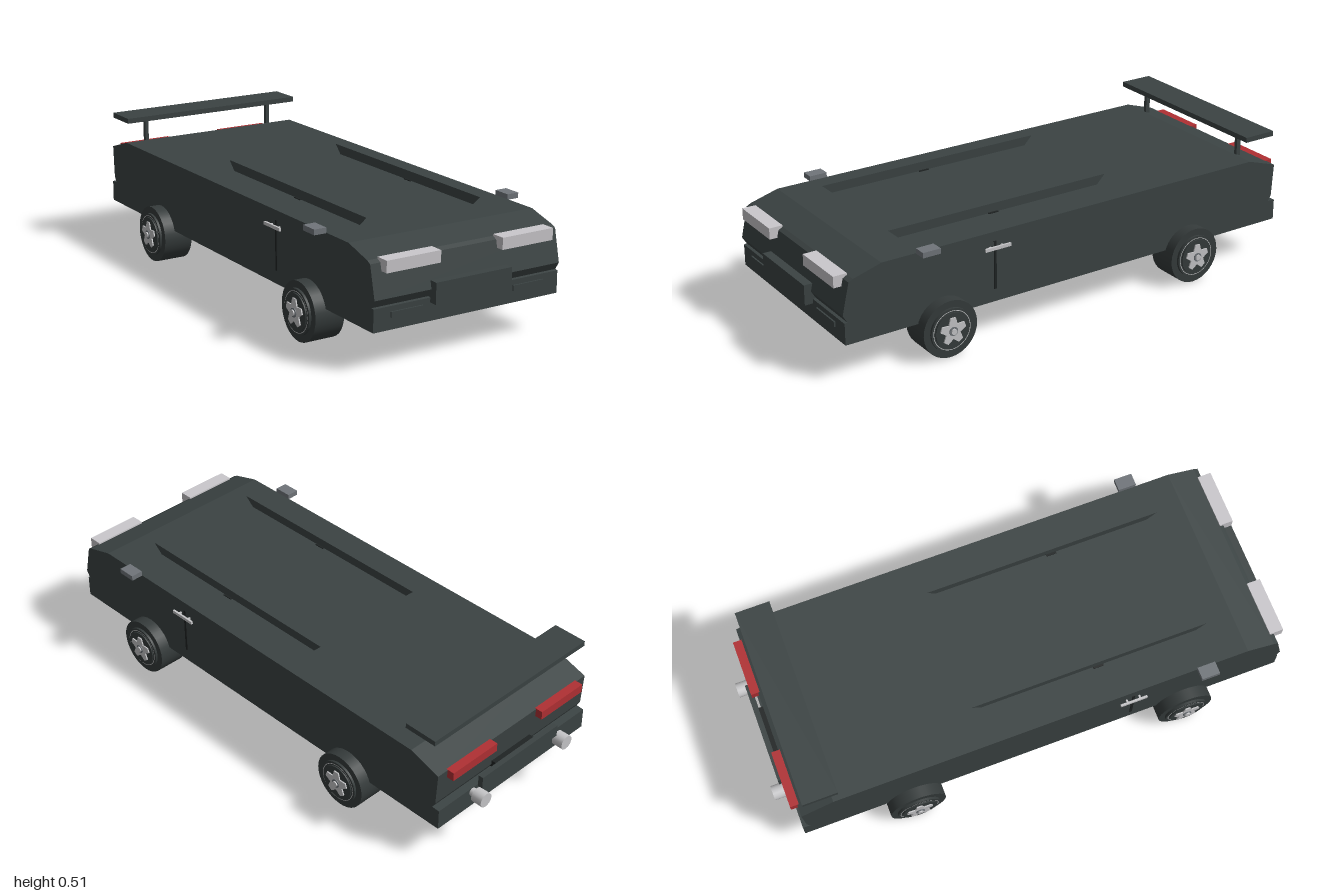
import * as THREE from 'three';

const mat = (name, color, opts = {}) => {
  const m = new THREE.MeshStandardMaterial({ color, ...opts });
  m.name = name;
  return m;
};

export function createModel() {
  const paint = mat('body paint', 0x3b4343);
  const panelPaint = paint.clone();
  panelPaint.side = THREE.DoubleSide;
  const rubber = mat('tyre rubber', 0x353b3b);
  const trim = mat('black trim', 0x1f2323);
  const silver = mat('silver', 0xc6c6c8);
  const grey = mat('mirror grey', 0x70757a);
  const lamp = mat('headlamp', 0xcac8cc);
  const red = mat('tail lamp red', 0xb03033);

  const car = new THREE.Group();
  car.name = 'car';

  const add = (name, geo, material, parent = car) => {
    const m = new THREE.Mesh(geo, material);
    m.name = name;
    parent.add(m);
    return m;
  };
  // Box given by its low and high corners
  const box = (name, material, [x0, y0, z0], [x1, y1, z1]) => {
    const g = new THREE.BoxGeometry(x1 - x0, y1 - y0, z1 - z0);
    g.translate((x0 + x1) / 2, (y0 + y1) / 2, (z0 + z1) / 2);
    return add(name, g, material);
  };
  // Same box on both sides of the car
  const pair = (name, material, [x0, y0, z0], [x1, y1, z1]) => {
    box(name + 'Left', material, [x0, y0, z0], [x1, y1, z1]);
    box(name + 'Right', material, [-x1, y0, z0], [-x0, y1, z1]);
  };
  // Side profile given as (z, y) points
  const profile = pts => new THREE.Shape(pts.map(p => new THREE.Vector2(...p)));

  // Body: wedge nose, grooves above both bumpers
  const body = new THREE.ExtrudeGeometry(profile([
    [0.968, 0.14], [0.968, 0.222], [0.957, 0.224], [0.974, 0.252], [0.947, 0.37],
    [0.93, 0.379], [0.82, 0.41], [-0.8, 0.41], [-0.925, 0.37],
    [-0.918, 0.245], [-0.905, 0.222], [-0.936, 0.22], [-0.936, 0.14],
  ]), { depth: 0.77, bevelEnabled: false });
  body.translate(0, 0, -0.385);
  body.rotateY(-Math.PI / 2);
  add('body', body, paint);

  // Thin upright panels on the roof, each with a small latch
  for (const s of [1, -1]) {
    const g = new THREE.ShapeGeometry(profile([
      [0.67, 0.409], [-0.18, 0.409], [-0.215, 0.445], [0.71, 0.445]]));
    g.rotateY(-Math.PI / 2);
    add('roofPanel', g, panelPaint).position.x = s * 0.24;
  }
  pair('roofLatch', trim, [0.232, 0.405, 0.26], [0.248, 0.413, 0.3]);

  // Front end
  pair('headlight', lamp, [0.128, 0.342, 0.93], [0.345, 0.385, 0.983]);
  box('frontPlate', paint, [-0.158, 0.205, 0.95], [0.158, 0.282, 1]);
  pair('bumperSlot', paint, [0.188, 0.183, 0.96], [0.318, 0.203, 0.974]);

  // Rear end
  pair('tailLight', red, [0.118, 0.338, -0.952], [0.338, 0.372, -0.908]);
  box('rearPlate', paint, [-0.198, 0.225, -0.965], [0.198, 0.272, -0.945]);
  box('rearPlateMount', trim, [-0.1, 0.235, -0.946], [0.1, 0.262, -0.905]);
  for (const s of [1, -1]) {
    const pipe = new THREE.Group();
    pipe.name = 'exhaust';
    pipe.position.set(s * 0.215, 0.203, -0.977);
    add('exhaustTip', new THREE.CylinderGeometry(0.028, 0.028, 0.044, 16).rotateX(Math.PI / 2), silver, pipe);
    add('exhaustPipe', new THREE.CylinderGeometry(0.016, 0.016, 0.06, 12).rotateX(Math.PI / 2), silver, pipe).position.z = 0.04;
    car.add(pipe);
  }

  // Wing on two posts
  box('wing', paint, [-0.388, 0.494, -0.907], [0.388, 0.514, -0.774]);
  pair('wingPost', paint, [0.278, 0.38, -0.83], [0.292, 0.496, -0.812]);

  // Mirrors, door seams and handles
  pair('mirror', grey, [0.384, 0.408, 0.615], [0.432, 0.428, 0.685]);
  pair('doorSeam', trim, [0.383, 0.19, 0.361], [0.388, 0.375, 0.371]);
  pair('doorHandle', silver, [0.396, 0.348, 0.31], [0.404, 0.36, 0.415]);
  for (const z of [0.335, 0.385])
    pair('handleLeg', silver, [0.38, 0.351, z], [0.398, 0.357, z + 0.007]);

  // Wheels: tyre, stepped hub disc, pale ring, spoked star and cap on both faces
  const star = new THREE.Shape();
  for (let i = 0; i < 10; i++) {
    const a = Math.PI / 2 + i * Math.PI / 5;
    const r = i % 2 ? 0.03 : 0.052;
    for (const d of i % 2 ? [0] : [-0.2, 0.2]) {
      const p = [Math.cos(a + d) * r, Math.sin(a + d) * r];
      if (i === 0 && d < 0) star.moveTo(...p);
      else star.lineTo(...p);
    }
  }
  const starGeo = new THREE.ExtrudeGeometry(star, { depth: 0.006, bevelEnabled: false });
  const disc = (r, h) => new THREE.CylinderGeometry(r, r, h, 32).rotateX(Math.PI / 2);
  const tyreGeo = disc(0.109, 0.116);

  const makeWheel = () => {
    const wheel = new THREE.Group();
    add('tyre', tyreGeo, rubber, wheel);
    for (const turn of [0, Math.PI]) {
      const face = new THREE.Group();
      face.name = 'wheelFace';
      face.rotation.y = turn;
      add('hubDisc', disc(0.083, 0.01), rubber, face).position.z = 0.062;
      add('hubStep', disc(0.068, 0.012), rubber, face).position.z = 0.066;
      add('rimRing', new THREE.RingGeometry(0.073, 0.0755, 32), silver, face).position.z = 0.0675;
      add('spokes', starGeo, silver, face).position.z = 0.071;
      add('hubRing', disc(0.017, 0.008), grey, face).position.z = 0.076;
      add('hubCap', disc(0.011, 0.012), silver, face).position.z = 0.079;
      wheel.add(face);
    }
    return wheel;
  };
  for (const [end, z] of [['front', 0.58], ['rear', -0.505]])
    for (const s of [1, -1]) {
      const wheel = makeWheel();
      wheel.name = end + 'Wheel' + (s > 0 ? 'Left' : 'Right');
      wheel.position.set(s * 0.371, 0.109, z);
      wheel.rotation.y = s * Math.PI / 2;
      car.add(wheel);
    }

  return car;
}
